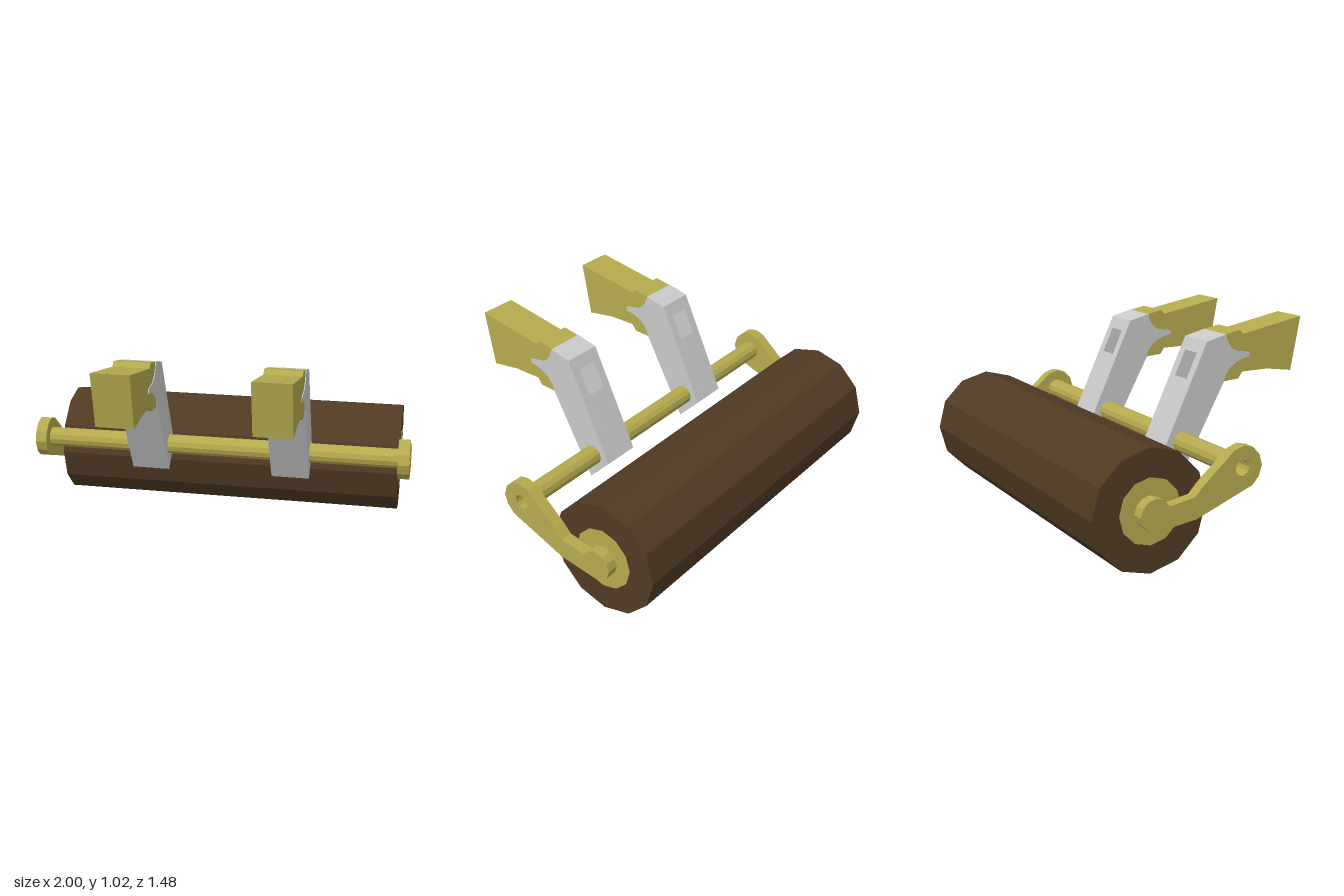
import * as THREE from 'three';

const brass = new THREE.MeshStandardMaterial({ name: 'olive yellow', color: 0xb5aa4e });
const steel = new THREE.MeshStandardMaterial({ name: 'light grey', color: 0xc9c9c9 });
const wood = new THREE.MeshStandardMaterial({ name: 'dark brown', color: 0x503a23 });

// Regular polygon in the (z, y) plane
const ring = (z, y, r, n = 12) => Array.from({ length: n }, (_, i) => {
  const a = (i / n) * Math.PI * 2;
  return [z + r * Math.cos(a), y + r * Math.sin(a)];
});

const toVectors = (pts) => pts.map(([z, y]) => new THREE.Vector2(z, y));

// Extrude a (z, y) outline along x from x0 to x1
function slab(name, pts, x0, x1, material, hole) {
  const shape = new THREE.Shape(toVectors(pts));
  if (hole) shape.holes.push(new THREE.Path(toVectors(hole)));
  const geo = new THREE.ExtrudeGeometry(shape, { depth: x1 - x0, bevelEnabled: false });
  geo.rotateY(-Math.PI / 2).translate(x1, 0, 0);
  const mesh = new THREE.Mesh(geo, material);
  mesh.name = name;
  return mesh;
}

// Swinging bracket: eye around the shaft, neck and round roller boss
const bracket = [
  [-0.03, 0.536], [0.02, 0.552], [0.071, 0.54], [0.11, 0.5], [0.126, 0.446], [0.11, 0.394],
  [0.075, 0.355], [-0.233, 0.241], [-0.438, 0.217], [-0.477, 0.225], [-0.513, 0.256],
  [-0.525, 0.296], [-0.513, 0.335], [-0.485, 0.363], [-0.446, 0.375], [-0.406, 0.363],
  [-0.375, 0.327], [-0.241, 0.347], [-0.197, 0.394],
];

// Joint line where the arm's tongue enters the mount, top to bottom
const joint = [
  [0.272, 0.966], [0.284, 0.927], [0.308, 0.895], [0.343, 0.876], [0.418, 0.864], [0.418, 0.84],
  [0.371, 0.832], [0.335, 0.817], [0.3, 0.793], [0.276, 0.761], [0.264, 0.726],
];
const mount = [
  [0.686, 0.742], [0.74, 1.022], [0.379, 0.959], [0.359, 0.982], ...joint,
  [0.355, 0.732], [0.379, 0.765], [0.533, 0.765],
];
const armTail = [[0.035, 0.306], [-0.083, 0.426]];
const armTop = [[0.158, 0.939]];
const pocket = [[0.07, 0.752], [0.185, 0.64], [0.24, 0.72], [0.24, 0.85], [0.13, 0.879]];
const armSide = [...joint, ...armTail, ...armTop];
const armMiddle = [...joint, ...armTail, ...pocket, ...armTop];

function createArm(x) {
  const arm = new THREE.Group();
  arm.name = 'hangerArm';
  arm.add(
    slab('armCheekRight', armSide, x - 0.1, x - 0.053, steel),
    slab('armCore', armMiddle, x - 0.053, x + 0.053, steel),
    slab('armCheekLeft', armSide, x + 0.053, x + 0.1, steel),
    slab('mountBlock', mount, x - 0.096, x + 0.096, brass),
  );
  // Mount end showing inside the slot
  const end = new THREE.Mesh(new THREE.BoxGeometry(0.1, 0.12, 0.008), brass);
  end.name = 'slotInsert';
  end.position.set(x, 0.785, 0.237);
  arm.add(end);
  return arm;
}

export function createModel() {
  const model = new THREE.Group();
  model.name = 'hangingRoller';

  // Roller
  model.add(slab('roller', ring(-0.44, 0.297, 0.297), -0.94, 0.94, wood));

  // Hollow shaft, interrupted by the arms
  const outer = ring(0.017, 0.445, 0.052);
  const inner = ring(0.017, 0.445, 0.038);
  for (const [x0, x1] of [[-0.998, -0.48], [-0.28, 0.28], [0.48, 0.998]]) {
    model.add(slab('shaft', outer, x0, x1, brass, inner));
  }

  for (const s of [-1, 1]) {
    // End caps and brackets
    const span = (a, b) => (s > 0 ? [a, b] : [-b, -a]);
    model.add(
      slab('rollerCap', ring(-0.44, 0.297, 0.16), ...span(0.935, 0.943), brass),
      slab('sideBracket', bracket, ...span(0.94, 1), brass, outer),
    );
    model.add(createArm(s * 0.38));
  }
  return model;
}
